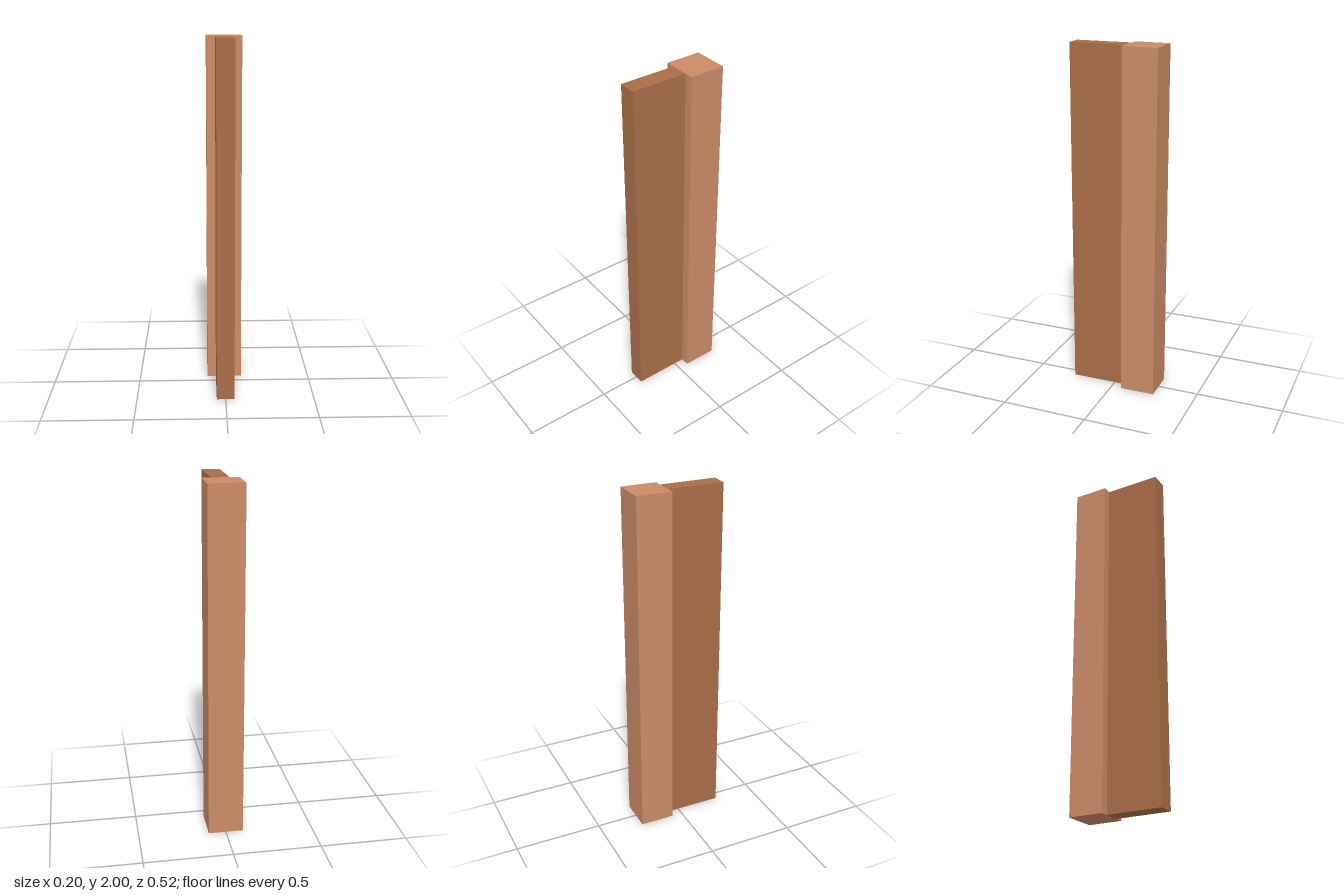
import * as THREE from 'three';

const HEIGHT = 2;

// Full-height box spanning zBack..zFront, standing on the ground
function upright(name, width, zBack, zFront, color) {
  const mesh = new THREE.Mesh(
    new THREE.BoxGeometry(width, HEIGHT, zFront - zBack),
    new THREE.MeshStandardMaterial({ color })
  );
  mesh.name = name;
  mesh.position.set(0, HEIGHT / 2, (zBack + zFront) / 2);
  return mesh;
}

export function createModel() {
  const model = new THREE.Group();
  model.name = 'wallPost';
  // Square post at the back, narrower wall panel running forward from it
  model.add(
    upright('post', 0.2, -0.26, -0.06, 0xcb8b67),
    upright('wallPanel', 0.1, -0.06, 0.26, 0xaa6d49)
  );
  return model;
}
